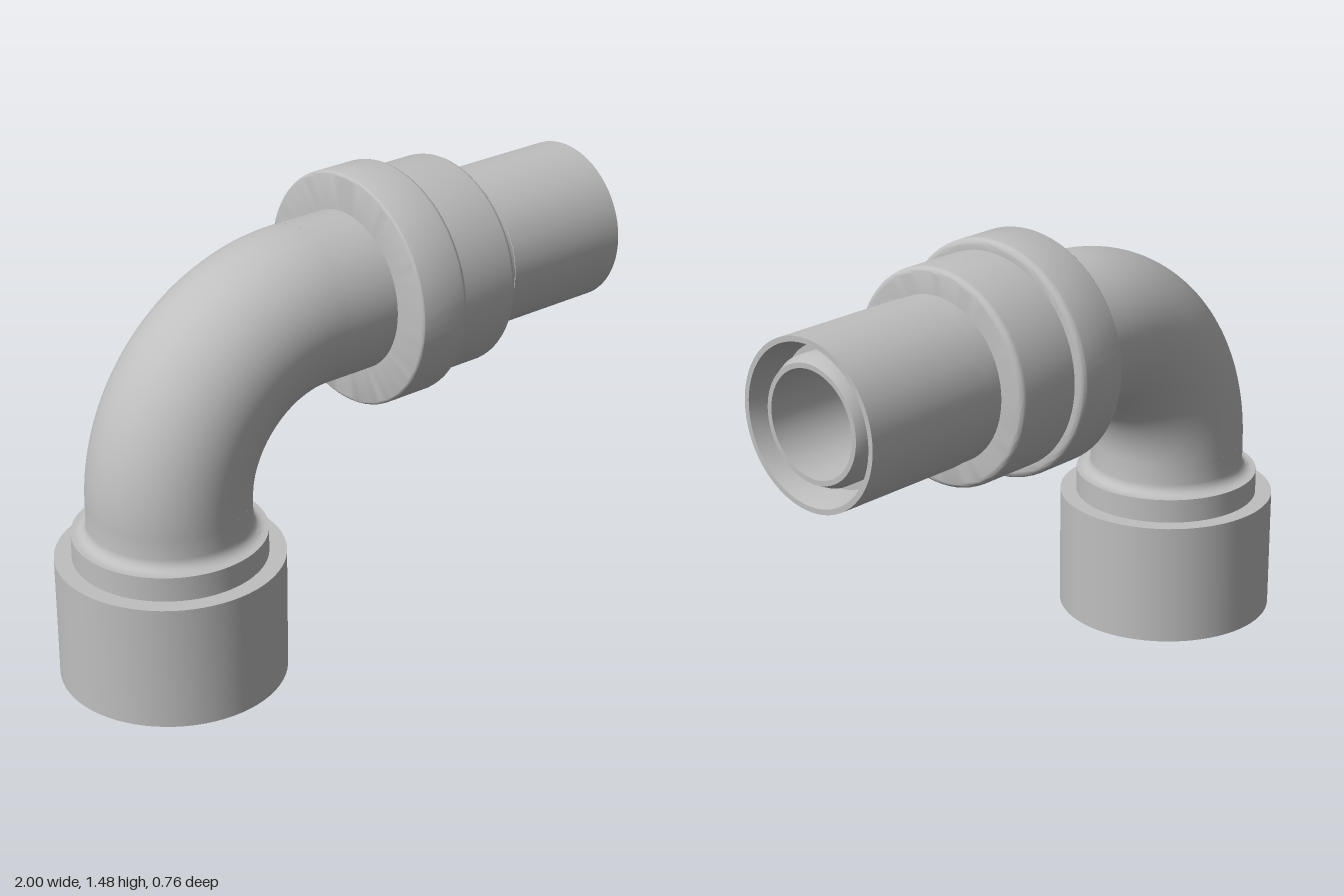
import * as THREE from 'three';
import { toCreasedNormals } from 'three/addons/utils/BufferGeometryUtils.js';

const RISER_X = -0.639; // axis of the vertical leg
const OUTLET_Y = 1.103; // axis of the horizontal leg
const BEND = 0.508;     // bend radius of the centre line
const PIPE = 0.258;     // outer pipe radius
const BORE = 0.22;      // inner pipe radius

export function createModel() {
  const group = new THREE.Group();
  const grey = new THREE.MeshStandardMaterial({ color: 0xbfbfbf, side: THREE.DoubleSide });
  grey.name = 'light grey';

  function add(name, geometry, parent = group) {
    const mesh = new THREE.Mesh(geometry, grey);
    mesh.name = name;
    parent.add(mesh);
    return mesh;
  }

  // Turned part from [radius, height] points, closed into a ring unless open
  function turned(profile, open = false) {
    const points = profile.map(([r, h]) => new THREE.Vector2(r, h));
    if (!open) points.push(points[0].clone());
    return toCreasedNormals(new THREE.LatheGeometry(points, 72), 0.5);
  }

  // Quarter-circle profile points about (r, h)
  function arc(r, h, radius, from, to) {
    return Array.from({ length: 6 }, (_, i) => {
      const a = (from + (to - from) * i / 5) * Math.PI / 180;
      return [r + radius * Math.cos(a), h + radius * Math.sin(a)];
    });
  }

  // Vertical leg: hollow socket cup, stepped collar and filleted neck
  const inlet = new THREE.Group();
  inlet.name = 'inlet';
  inlet.position.x = RISER_X;
  group.add(inlet);
  add('socketCup', turned([
    [0.345, 0], [0.361, 0], [0.361, 0.41], [0.306, 0.41], [0.306, 0.49],
    ...arc(PIPE + 0.035, 0.525, 0.035, 270, 180),
    [PIPE, OUTLET_Y - BEND], [BORE, OUTLET_Y - BEND], [BORE, 0.45],
    [0.252, 0.42], [0.252, 0.2], [0.345, 0.2],
  ]), inlet);

  // Quarter bend with its inner wall
  for (const [name, radius] of [['elbow', PIPE], ['elbowBore', BORE]]) {
    const bend = add(name, new THREE.TorusGeometry(BEND, radius, 64, 48, Math.PI / 2));
    bend.rotation.z = Math.PI / 2;
    bend.position.set(RISER_X + BEND, OUTLET_Y - BEND, 0);
  }

  // Horizontal leg, turned upright and laid along +x
  const outlet = new THREE.Group();
  outlet.name = 'outlet';
  outlet.position.y = OUTLET_Y;
  outlet.rotation.z = -Math.PI / 2;
  group.add(outlet);

  add('straightPipe', turned([[PIPE, RISER_X + BEND], [PIPE, 0.07]], true), outlet);

  // Two-step union nut with rounded rims
  add('unionNut', turned([
    [0.24, 0.055],
    ...arc(0.368, 0.067, 0.012, -90, 0),
    ...arc(0.36, 0.218, 0.02, 0, 90),
    [0.345, 0.238],
    ...arc(0.325, 0.45, 0.02, 0, 90),
    [0.24, 0.47],
  ]), outlet);

  // Spigot sleeve with a faint shoulder and tapered mouth
  add('spigotSleeve', turned([
    [0.222, 0.46], [0.262, 0.46], [0.262, 0.54], [0.265, 0.54],
    [0.265, 1], [0.248, 1], [0.222, 0.9],
  ]), outlet);

  // Inner nozzle and the floor of the groove around it
  add('innerNozzle', turned([
    [0.167, 0.06], [0.222, 0.06], [0.222, 0.89], [0.2, 0.89],
    [0.2, 0.95], [0.183, 0.985], [0.167, 0.985],
  ]), outlet);

  // Bore between the bend and the nozzle
  add('outletBore', turned([[BORE, RISER_X + BEND], [BORE, 0], [0.167, 0.06]], true), outlet);

  return group;
}
